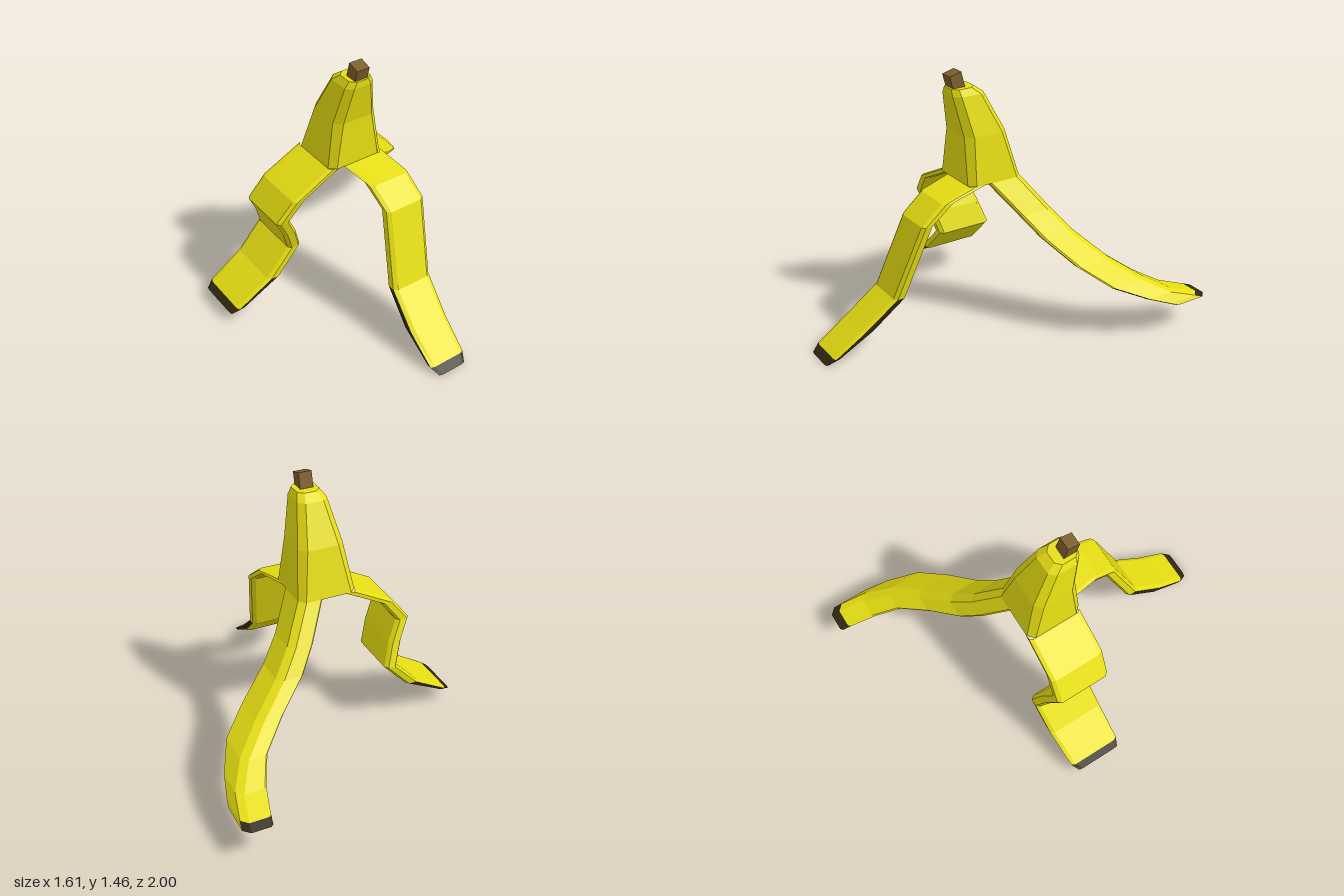
import * as THREE from 'three';

const mat = (color) => new THREE.MeshStandardMaterial({ color, flatShading: true, roughness: 0.8 });
const yellow = mat(0xe6de12), dark = mat(0x2e2610), brown = mat(0x7d5f2e);

function meshOf(name, positions, material) {
  const g = new THREE.BufferGeometry();
  g.setAttribute('position', new THREE.Float32BufferAttribute(positions, 3));
  g.computeVertexNormals();
  const m = new THREE.Mesh(g, material);
  m.name = name;
  return m;
}

// Lofts horizontal rings { y, pts: [[x, z], ...] }, top to bottom, counter-clockwise from above.
// isDark(segment, side) chooses the faces that go to the dark mesh.
function loft(name, rings, { capTop = false, isDark = () => false, darkEnd = false } = {}) {
  const skin = [], tip = [];
  const at = (i, j) => {
    const { y, pts } = rings[i], p = pts[j % pts.length];
    return [p[0], y, p[1]];
  };
  const sides = rings[0].pts.length, last = rings.length - 1;
  for (let i = 0; i < last; i++) {
    for (let j = 0; j < sides; j++) {
      const a = at(i, j), b = at(i + 1, j), c = at(i + 1, j + 1), d = at(i, j + 1);
      (isDark(i, j) ? tip : skin).push(...a, ...b, ...c, ...a, ...c, ...d);
    }
  }
  const cap = (i, up, out) => {
    const contour = rings[i].pts.map(([x, z]) => new THREE.Vector2(x, -z));
    for (const [a, b, c] of THREE.ShapeUtils.triangulateShape(contour, [])) {
      for (const k of up ? [a, b, c] : [c, b, a]) out.push(...at(i, k));
    }
  };
  if (capTop) cap(0, true, skin);
  cap(last, false, darkEnd ? tip : skin);
  const group = new THREE.Group();
  group.name = name;
  group.add(meshOf(name + 'Skin', skin, yellow));
  if (tip.length) group.add(meshOf(name + 'DarkEdge', tip, dark));
  return group;
}

// Bevelled slab section: u0..u1 across, v from inner to outer face
function slab(u0, u1, inner, outer) {
  const b = 0.022, k = (outer - inner) * 0.22;
  return [
    [u0 + b, outer], [u1 - b, outer], [u1, outer - k], [u1, inner + k],
    [u1 - b, inner], [u0 + b, inner], [u0, inner + k], [u0, outer - k],
  ];
}

// Corner section: two walls meeting at the back right, open towards the middle
function corner(x0, x1, zBack, zFront) {
  const t = 0.05, c = 0.035, e = 0.014;
  return [
    [x0 + e, zBack], [x0, zBack + e], [x0, zBack + t], [x1 - t, zBack + t], [x1 - t, zFront],
    [x1 - e, zFront], [x1, zFront - e], [x1, zBack + c], [x1 - c, zBack],
  ];
}

export function createModel() {
  const model = new THREE.Group();
  model.name = 'bananaPeel';

  // Upper peel: y, x0, x1, zBack, zFront, corner bevel
  const body = [
    [1.372, -0.095, 0.035, 0.04, 0.178, 0.03],
    [1.335, -0.118, 0.055, -0.01, 0.178, 0.035],
    [1.115, -0.16, 0.1, -0.12, 0.134, 0.04],
    [0.85, -0.2, 0.135, -0.19, 0.138, 0.035],
  ].map(([y, x0, x1, z0, z1, c]) => ({
    y,
    pts: [
      [x0 + c, z1], [x1 - c, z1], [x1, z1 - c], [x1, z0 + c],
      [x1 - c, z0], [x0 + c, z0], [x0, z0 + c], [x0, z1 - c],
    ],
  }));
  model.add(loft('upperPeel', body, { capTop: true }));

  // Stem, leaning forward
  const stem = new THREE.Mesh(new THREE.BoxGeometry(0.076, 0.1, 0.072), brown);
  stem.name = 'stem';
  stem.position.set(-0.033, 1.4, 0.137);
  stem.rotation.x = 0.27;
  model.add(stem);

  // Front strip: y, x0, x1, inner z, outer z
  const front = [
    [0.85, -0.12, 0.135, 0.02, 0.138],
    [0.81, -0.08, 0.165, 0.25, 0.33],
    [0.71, -0.065, 0.175, 0.39, 0.458],
    [0.305, -0.12, 0.118, 0.535, 0.607],
    [0.152, -0.14, 0.094, 0.71, 0.795],
    [0.033, -0.14, 0.078, 0.92, 0.957],
    [0, -0.115, 0.053, 0.98, 1],
  ].map(([y, x0, x1, zi, zo]) => ({ y, pts: slab(x0, x1, zi, zo) }));
  model.add(loft('frontStrip', front, {
    isDark: (i, j) => i === 5 || (i >= 3 && (j === 2 || j === 6)),
    darkEnd: true,
  }));

  // Folded strip on the right: y, z0, z1, inner and outer distance towards -x
  const folded = [
    [0.85, -0.19, 0.13, 0.12, 0.2],
    [0.73, -0.197, 0.13, 0.355, 0.43],
    [0.61, -0.212, 0.11, 0.447, 0.525],
    [0.49, -0.247, 0.077, 0.387, 0.465],
    [0.36, -0.288, 0.043, 0.345, 0.42],
    [0.21, -0.282, 0.05, 0.487, 0.565],
    [0.09, -0.265, 0.045, 0.72, 0.765],
    [0.065, -0.24, 0.025, 0.785, 0.803],
  ].map(([y, z0, z1, di, dо]) => ({ y, pts: slab(z0, z1, di, dо).map(([u, v]) => [-v, u]) }));
  model.add(loft('foldedStrip', folded, {
    isDark: (i, j) => i === 6 || (i >= 5 && (j === 2 || j === 6)),
    darkEnd: true,
  }));

  // Back left strip, continuing a corner of the upper peel: y, x0, x1, zBack, zFront
  const back = [
    [0.85, 0, 0.135, -0.19, 0.02],
    [0.67, 0.115, 0.255, -0.315, -0.11],
    [0.55, 0.212, 0.36, -0.4, -0.19],
    [0.42, 0.385, 0.53, -0.522, -0.3],
    [0.322, 0.53, 0.672, -0.658, -0.425],
    [0.243, 0.598, 0.757, -0.8, -0.6],
    [0.195, 0.638, 0.793, -0.95, -0.725],
    [0.177, 0.648, 0.803, -1, -0.77],
  ].map(([y, ...s]) => ({ y, pts: corner(...s) }));
  model.add(loft('backStrip', back, {
    isDark: (i, j) => (i === 6 && (j === 0 || j >= 7)) || (i >= 4 && (j === 1 || j === 4 || j === 5)),
  }));

  return model;
}
